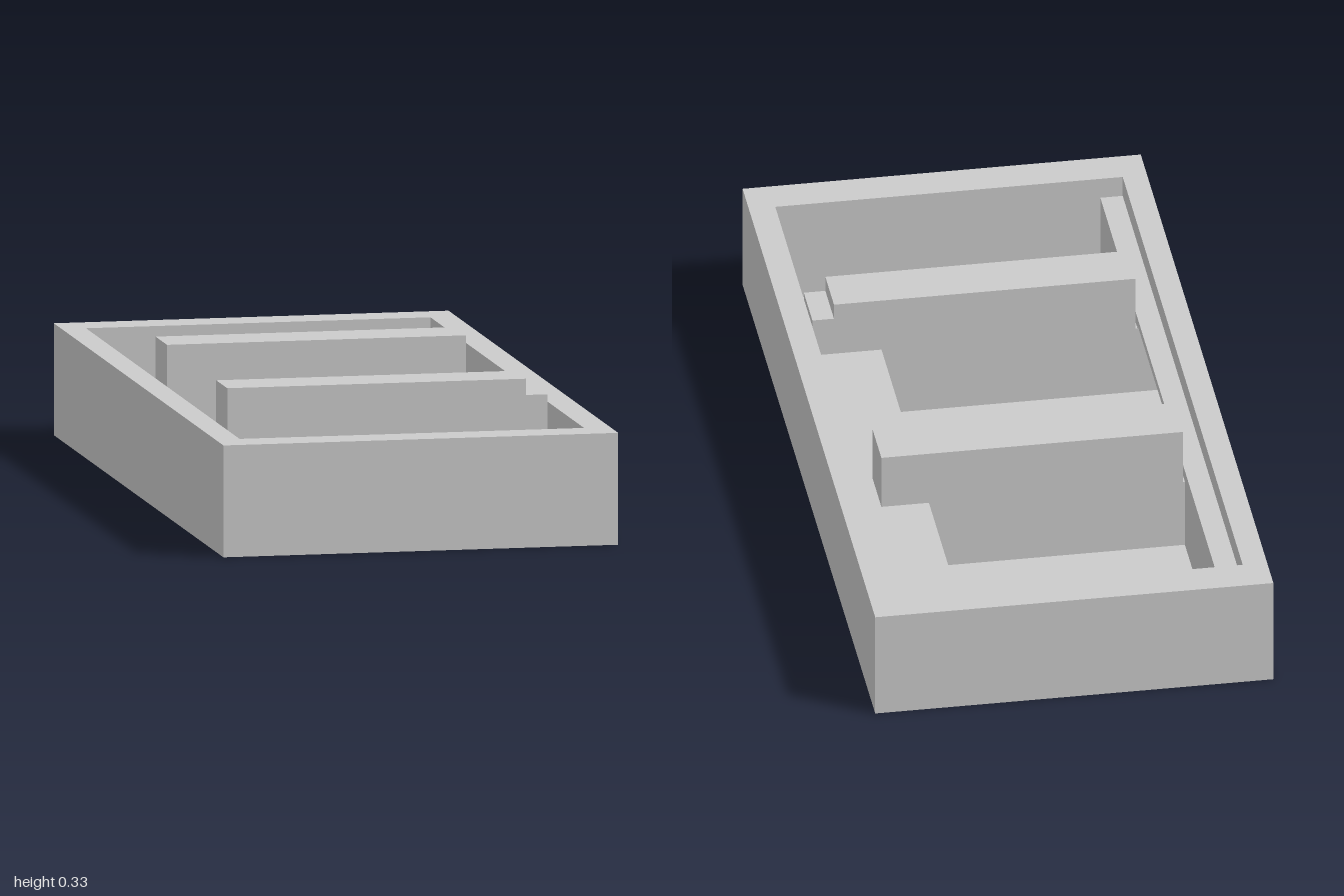
import * as THREE from 'three';

const material = new THREE.MeshStandardMaterial({ color: 0xcccccc, flatShading: true });

// Inner faces of the tray
const INNER = { x0: -0.43, x1: 0.425, z: 0.905, floor: 0.01 };

function add(group, name, geometry) {
  const mesh = new THREE.Mesh(geometry, material);
  mesh.name = name;
  group.add(mesh);
  return mesh;
}

// Box given by its lower and upper limits on each axis
function block(group, name, [x0, x1], [y0, y1], [z0, z1]) {
  const mesh = add(group, name, new THREE.BoxGeometry(x1 - x0, y1 - y0, z1 - z0));
  mesh.position.set((x0 + x1) / 2, (y0 + y1) / 2, (z0 + z1) / 2);
}

// Cross-section in x and y, run along z
function prism(group, name, points, z0, z1) {
  const shape = new THREE.Shape(points.map(([x, y]) => new THREE.Vector2(x, y)));
  const geometry = new THREE.ExtrudeGeometry(shape, { depth: z1 - z0, bevelEnabled: false });
  add(group, name, geometry.translate(0, 0, z0));
}

const rectangle = (Type, x0, x1, z) => new Type([
  new THREE.Vector2(x0, -z), new THREE.Vector2(x1, -z),
  new THREE.Vector2(x1, z), new THREE.Vector2(x0, z),
]);

export function createModel() {
  const model = new THREE.Group();
  model.name = 'dividedTray';

  // Tray walls and thin floor
  const rim = rectangle(THREE.Shape, -0.49, 0.49, 1);
  rim.holes.push(rectangle(THREE.Path, INNER.x0, INNER.x1, INNER.z));
  const walls = new THREE.ExtrudeGeometry(rim, { depth: 0.275, bevelEnabled: false });
  add(model, 'walls', walls.rotateX(-Math.PI / 2));
  block(model, 'floor', [INNER.x0, INNER.x1], [0, INNER.floor], [-INNER.z, INNER.z]);

  // Cross dividers: raised upper part over a lower part that meets both walls
  const dividers = [
    { name: 'backDivider', z: [-0.37, -0.235] },
    { name: 'frontDivider', z: [0.345, 0.475] },
  ];
  for (const { name, z } of dividers) {
    const divider = new THREE.Group();
    divider.name = name;
    block(divider, 'dividerTop', [-0.37, 0.372], [0.19, 0.333], z);
    block(divider, 'dividerBase', [INNER.x0, INNER.x1], [INNER.floor, 0.19], z);
    model.add(divider);
  }
  // Tab at the left end of the front divider
  block(model, 'dividerTab', [0.372, INNER.x1], [0.19, 0.293], dividers[1].z);

  // Wide shelf on the left wall, with a lip and a sloping underside
  prism(model, 'wideShelf', [
    [0.255, 0.193], [0.255, 0.172], [INNER.x1, INNER.floor], [INNER.x1, 0.193],
  ], -INNER.z, 0.345);

  // Narrow rail on the right wall: solid at the ends, a bracketed ledge between the dividers
  block(model, 'backRail', [INNER.x0, -0.375], [INNER.floor, 0.221], [-INNER.z, -0.235]);
  prism(model, 'middleRail', [
    [INNER.x0, 0.221], [INNER.x0, 0.145], [-0.375, 0.2], [-0.375, 0.221],
  ], -0.235, 0.345);
  block(model, 'frontRail', [INNER.x0, -0.375], [INNER.floor, 0.221], [0.345, INNER.z]);

  return model;
}
